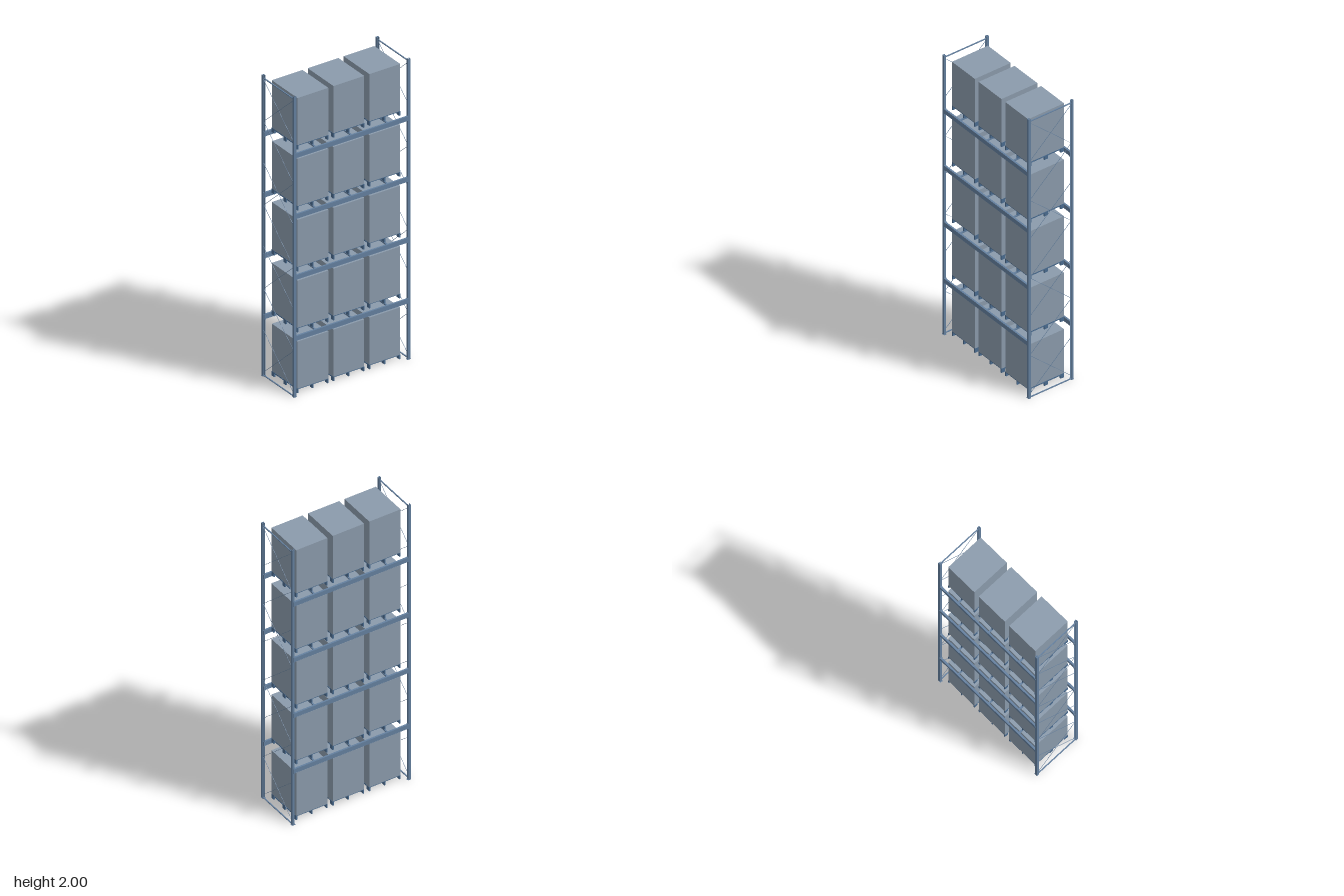
import * as THREE from 'three';

const paint = color => new THREE.MeshStandardMaterial({ color, flatShading: true });
const STEEL = paint(0x64809f), PALLET = paint(0x4a6c90), LOAD = paint(0x8b9bac);

function box(parent, name, mat, w, h, d, x, y, z) {
  const m = new THREE.Mesh(new THREE.BoxGeometry(w, h, d), mat);
  m.name = name;
  m.position.set(x, y, z);
  parent.add(m);
  return m;
}

// Thin square bar between two points in a side frame
function brace(parent, x, y0, z0, y1, z1) {
  const m = box(parent, 'diagonalBrace', STEEL, 0.002, 0.002, Math.hypot(y1 - y0, z1 - z0),
    x, (y0 + y1) / 2, (z0 + z1) / 2);
  m.rotation.x = -Math.atan2(y1 - y0, z1 - z0);
}

const LEVELS = [0, 0.405, 0.81, 1.215, 1.62];
const COLUMNS = [-0.255, 0, 0.255];
const POST_X = 0.405, POST_Z = 0.158;

// Upright: C-shaped channel opening toward the middle of the frame
function upright(sx, sz) {
  const w = 0.008, t = 0.003;
  const s = new THREE.Shape([
    [-w, -w], [w, -w], [w, w], [w - t, w], [w - t, -w + t],
    [-w + t, -w + t], [-w + t, w], [-w, w],
  ].map(([x, y]) => new THREE.Vector2(x, y * sz)));
  const g = new THREE.ExtrudeGeometry(s, { depth: 2, bevelEnabled: false });
  g.rotateX(-Math.PI / 2);
  const m = new THREE.Mesh(g, STEEL);
  m.name = 'upright';
  m.position.set(sx * POST_X, 0, sz * POST_Z);
  return m;
}

// Side frame: two uprights, end rails and diagonal bracing
function sideFrame(sx) {
  const f = new THREE.Group();
  f.name = sx > 0 ? 'leftFrame' : 'rightFrame';
  const x = sx * 0.407;
  for (const sz of [-1, 1]) {
    f.add(upright(sx, sz));
    box(f, 'footPlate', STEEL, 0.022, 0.003, 0.018, sx * 0.404, 0.0015, sz * POST_Z);
  }
  for (const y of [0.005, 1.982]) box(f, 'frameRail', STEEL, 0.007, 0.005, 0.304, x, y, 0);
  const step = 0.278, z = 0.153;
  for (let i = 0; i < 7; i++) {
    const y = 0.026 + i * step;
    brace(f, x, y, z, y + step, -z);
    if (i % 2 === 0) brace(f, x, y, -z, y + step, z);
  }
  return f;
}

// Pallet: nine blocks, three bearers, slatted deck
function pallet() {
  const p = new THREE.Group();
  p.name = 'pallet';
  const W = 0.22, D = 0.264;
  for (const i of [-1, 0, 1]) {
    const x = i * (W / 2 - 0.004);
    for (const j of [-1, 0, 1]) {
      box(p, 'palletBlock', PALLET, 0.008, 0.022, 0.026, x, 0.011, j * (D / 2 - 0.013));
    }
    box(p, 'palletBearer', PALLET, 0.008, 0.004, D, x, 0.024, 0);
  }
  const n = 7, slat = 0.028;
  for (let k = 0; k < n; k++) {
    const z = -D / 2 + slat / 2 + k * (D - slat) / (n - 1);
    box(p, 'deckSlat', PALLET, W, 0.004, slat, 0, 0.028, z);
  }
  return p;
}

export function createModel() {
  const rack = new THREE.Group();
  rack.name = 'palletRack';
  rack.add(sideFrame(1), sideFrame(-1));

  LEVELS.forEach((y, i) => {
    const shelf = new THREE.Group();
    shelf.name = 'shelf' + i;
    rack.add(shelf);

    // Beams with end connectors, and cross supports
    if (i > 0) {
      for (const sz of [-1, 1]) {
        box(shelf, 'beam', STEEL, 0.802, 0.03, 0.012, 0, y - 0.015, sz * 0.16);
        for (const sx of [-1, 1]) {
          box(shelf, 'beamConnector', STEEL, 0.012, 0.032, 0.016, sx * 0.398, y - 0.015, sz * 0.159);
        }
      }
      for (const x of COLUMNS) box(shelf, 'crossSupport', STEEL, 0.01, 0.008, 0.312, x, y - 0.004, 0);
    }

    // Loaded pallets
    for (const x of COLUMNS) {
      const p = pallet();
      p.position.set(x, y, 0);
      box(p, 'load', LOAD, 0.218, 0.314, 0.264, 0, 0.187, 0);
      shelf.add(p);
    }
  });
  return rack;
}
